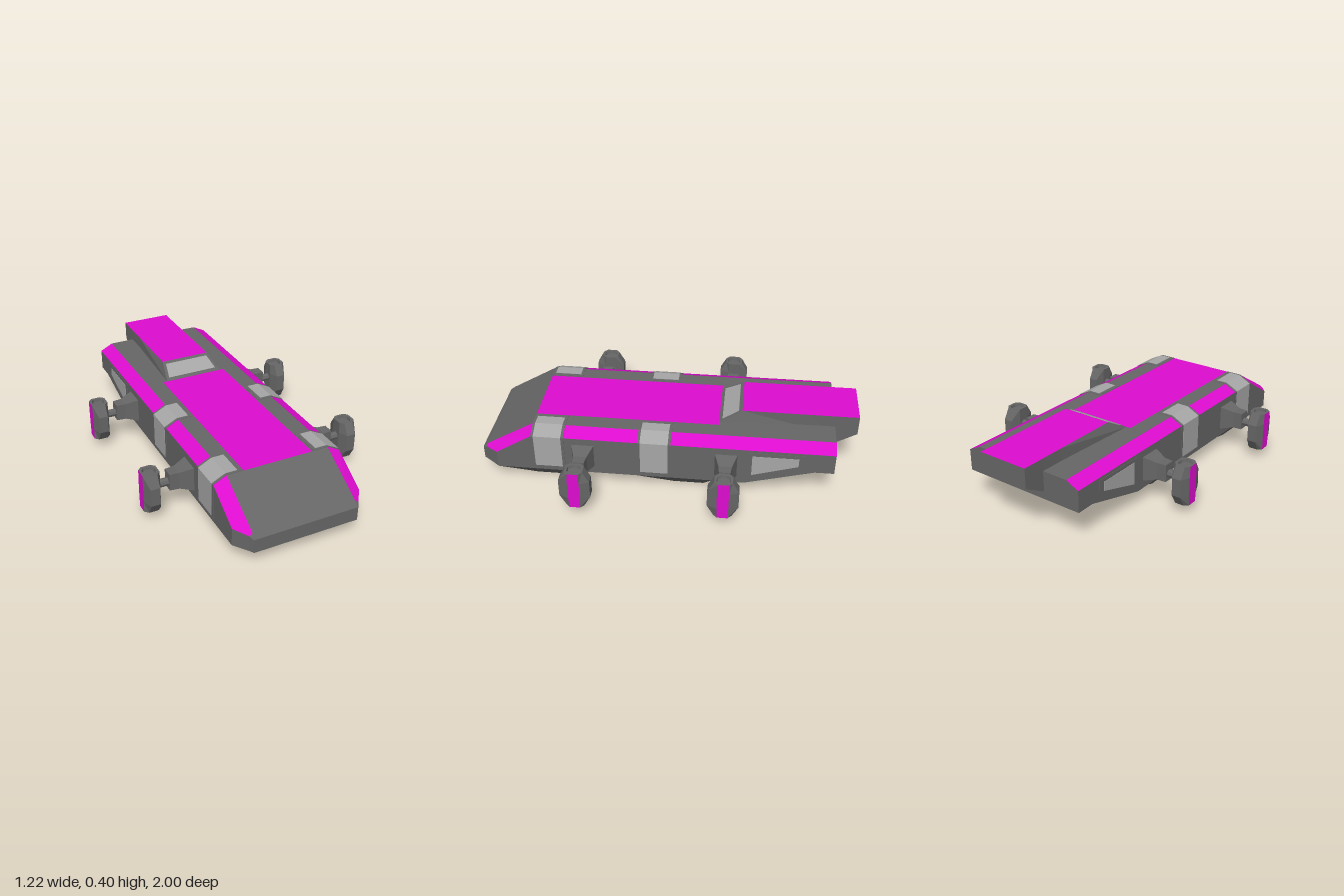
import * as THREE from 'three';

const mat = (color) => new THREE.MeshStandardMaterial({ color, flatShading: true });
const DARK = mat(0x666666), PAINT = mat(0xdd0ccf), GLASS = mat(0xa6a6a6);

// Skin closed rings of [x, y, z] points, close both ends, split into body and painted faces.
function loft(parent, name, rings, { side = 1, material = DARK, painted = () => false } = {}) {
  const middle = (ring) => {
    const c = [0, 1, 2].map((k) => ring.reduce((s, p) => s + p[k], 0) / ring.length);
    return ring.map(() => c);
  };
  const rows = [middle(rings[0]), ...rings, middle(rings[rings.length - 1])];
  const body = [], paint = [];
  for (let r = 0; r < rows.length - 1; r++) {
    const n = rows[r].length;
    const isCap = r === 0 || r === rows.length - 2;
    for (let c = 0; c < n; c++) {
      const d = (c + 1) % n;
      const a = rows[r][c], b = rows[r + 1][c], e = rows[r + 1][d], f = rows[r][d];
      const out = !isCap && painted(r - 1, c) ? paint : body;
      for (const tri of [[a, b, f], [b, e, f]]) {
        if (side < 0) tri.reverse();
        for (const p of tri) out.push(p[0] * side, p[1], p[2]);
      }
    }
  }
  const add = (list, label, m) => {
    if (!list.length) return;
    const g = new THREE.BufferGeometry();
    g.setAttribute('position', new THREE.Float32BufferAttribute(list, 3));
    g.computeVertexNormals();
    const mesh = new THREE.Mesh(g, m);
    mesh.name = label;
    parent.add(mesh);
  };
  add(body, name, material);
  add(paint, name + 'Paint', PAINT);
}

// Thin raised plate on a flat face; corners run counter-clockwise seen from outside.
function panel(parent, name, corners, height, material, side = 1) {
  const [a, b, c] = corners.map((p) => new THREE.Vector3(...p));
  const n = b.clone().sub(a).cross(c.sub(b)).normalize().multiplyScalar(height);
  const ring = [...corners].reverse();
  const top = ring.map((p) => [p[0] + n.x, p[1] + n.y, p[2] + n.z]);
  loft(parent, name, [ring, top], { side, material });
}

function bar(parent, name, radius, length, x, y, z) {
  const m = new THREE.Mesh(new THREE.CylinderGeometry(radius, radius, length, 8), DARK);
  m.rotation.z = Math.PI / 2;
  m.position.set(x, y, z);
  m.name = name;
  parent.add(m);
}

function buildHull(g) {
  // z, deck height, shoulder height, side bottom, keel pod height, keel centre, half width
  const stations = [
    [-0.88, 0.33, 0.295, 0.18, 0.18, 0.18, 0.35],
    [-0.78, 0.33, 0.295, 0.18, 0.18, 0.18, 0.35],
    [-0.42, 0.33, 0.295, 0.08, 0.08, 0.08, 0.35],
    [-0.27, 0.33, 0.295, 0.08, 0.03, 0.08, 0.35],
    [-0.2, 0.33, 0.295, 0.08, 0, 0.07, 0.35],
    [-0.04, 0.33, 0.295, 0.08, 0, 0.07, 0.35],
    [0.15, 0.33, 0.295, 0.08, 0.08, 0.08, 0.35],
    [0.35, 0.33, 0.295, 0.08, 0.08, 0.08, 0.35],
    [0.54, 0.33, 0.295, 0.08, 0, 0.07, 0.35],
    [0.71, 0.33, 0.295, 0.08, 0, 0.07, 0.35],
    [0.905, 0.216, 0.175, 0.08, 0.08, 0.08, 0.35],
    [0.975, 0.175, 0.165, 0.08, 0.08, 0.08, 0.298],
    [1, 0.155, 0.15, 0.08, 0.08, 0.08, 0.282],
  ];
  const rings = stations.map(([z, top, shoulder, low, pod, keel, w]) => {
    const half = [[0, top], [0.19, top], [0.28, top], [w, shoulder],
      [w, low], [0.28, pod], [0.19, pod], [0, keel]];
    const mirrored = half.slice(1, 7).reverse().map(([x, y]) => [-x, y]);
    return [...half, ...mirrored].map(([x, y]) => [x, y, z]);
  });
  loft(g, 'hull', rings, {
    painted: (r, c) =>
      ((c === 2 || c === 11) && r < 11) || ((c === 0 || c === 13) && r >= 3 && r < 9),
  });
}

function buildCabin(g) {
  const section = (zTop, zLow, low, wLow) => [
    [-0.14, 0.395, zTop], [0.14, 0.395, zTop], [wLow, low, zLow], [-wLow, low, zLow]];
  loft(g, 'cabin', [
    section(-1, -1, 0.29, 0.14),
    section(-0.88, -0.88, 0.22, 0.14),
    section(-0.75, -0.75, 0.31, 0.142),
    section(-0.39, -0.27, 0.33, 0.165),
  ], { painted: (r, c) => c === 0 });

  // Windscreen on the sloping front
  panel(g, 'windscreen', [
    [-0.145, 0.34, -0.288], [0.145, 0.34, -0.288],
    [0.128, 0.385, -0.372], [-0.128, 0.385, -0.372]], 0.003, GLASS);

  // Two windows under the rear overhang
  for (const side of [1, -1]) {
    panel(g, 'rearWindow', [
      [0.012, 0.278, -0.98], [0.12, 0.278, -0.98],
      [0.12, 0.232, -0.9], [0.012, 0.232, -0.9]], 0.003, GLASS, side);
  }
}

// Glazed hatch wrapping from the deck over the shoulder and down the side
function buildHatch(g, z0, z1, side) {
  const wrap = (inner, low, lift) => (z) => [
    [inner, 0.32], [inner, 0.33 + lift], [0.28 + lift * 0.3, 0.33 + lift],
    [0.35 + lift, 0.295 + lift * 0.5], [0.35 + lift, low], [0.34, low]].map(([x, y]) => [x, y, z]);
  loft(g, 'hatchFrame', [z0, z1].map(wrap(0.197, 0.095, 0.002)), { side });
  loft(g, 'hatchGlass', [z0 + 0.014, z1 - 0.014].map(wrap(0.217, 0.108, 0.004)),
    { side, material: GLASS });
}

// Outrigger: tapered strut, axle and upright engine pod
function buildOutrigger(g, z, side) {
  const strut = [[0.345, 0.122, 0.258, 0.06], [0.42, 0.142, 0.236, 0.035], [0.47, 0.142, 0.236, 0.03]];
  loft(g, 'strut', strut.map(([x, y0, y1, w]) => [
    [x, y1, z + w], [x, y1, z - w], [x, y0, z - w], [x, y0, z + w]]), { side });
  bar(g, 'axle', 0.022, 0.07, side * 0.495, 0.18, z);

  const octagon = [[-0.025, -0.08], [0.025, -0.08], [0.045, -0.03], [0.045, 0.03],
    [0.025, 0.08], [-0.025, 0.08], [-0.045, 0.03], [-0.045, -0.03]];
  // height, width scale, depth scale; the ends are hollowed
  const levels = [[0.072, 0.65, 0.4], [0.056, 0.72, 0.44], [0.056, 1, 0.58], [0.115, 1, 1],
    [0.212, 1, 1], [0.271, 1, 0.58], [0.271, 0.72, 0.44], [0.255, 0.65, 0.4]];
  const rings = levels.map(([y, sx, sz]) => octagon.map(([px, pz]) => {
    // the outer and inner flats keep their width along the whole pod
    const flat = Math.abs(px) > 0.03 && sx === 1;
    return [0.565 + px * sx, y, z + pz * (flat ? Math.max(sz, 0.9) : sz)];
  }));
  loft(g, 'enginePod', rings, { side, painted: (r, c) => c === 2 && r >= 2 && r < 5 });
}

// Four-sided window with a frame on the rear flank
function buildSideWindow(g, side) {
  panel(g, 'sideWindowFrame', [
    [0.35, 0.11, -0.425], [0.35, 0.198, -0.725],
    [0.35, 0.28, -0.725], [0.35, 0.28, -0.425]], 0.002, DARK, side);
  panel(g, 'sideWindowGlass', [
    [0.35, 0.138, -0.455], [0.35, 0.212, -0.695],
    [0.35, 0.26, -0.695], [0.35, 0.26, -0.455]], 0.004, GLASS, side);
}

// Hinged boarding ramp on the sloping rear underside
function buildRamp(g) {
  panel(g, 'ramp', [
    [-0.2, 0.174, -0.76], [0.2, 0.174, -0.76],
    [0.2, 0.084, -0.435], [-0.2, 0.084, -0.435]], 0.014, DARK);
  bar(g, 'rampHinge', 0.011, 0.42, 0, 0.077, -0.44);
}

export function createModel() {
  const g = new THREE.Group();
  g.name = 'hoverVehicle';
  buildHull(g);
  buildCabin(g);
  buildRamp(g);
  for (const side of [1, -1]) {
    buildHatch(g, 0.535, 0.71, side);
    buildHatch(g, -0.03, 0.145, side);
    buildSideWindow(g, side);
    buildOutrigger(g, 0.435, side);
    buildOutrigger(g, -0.32, side);
  }
  return g;
}
